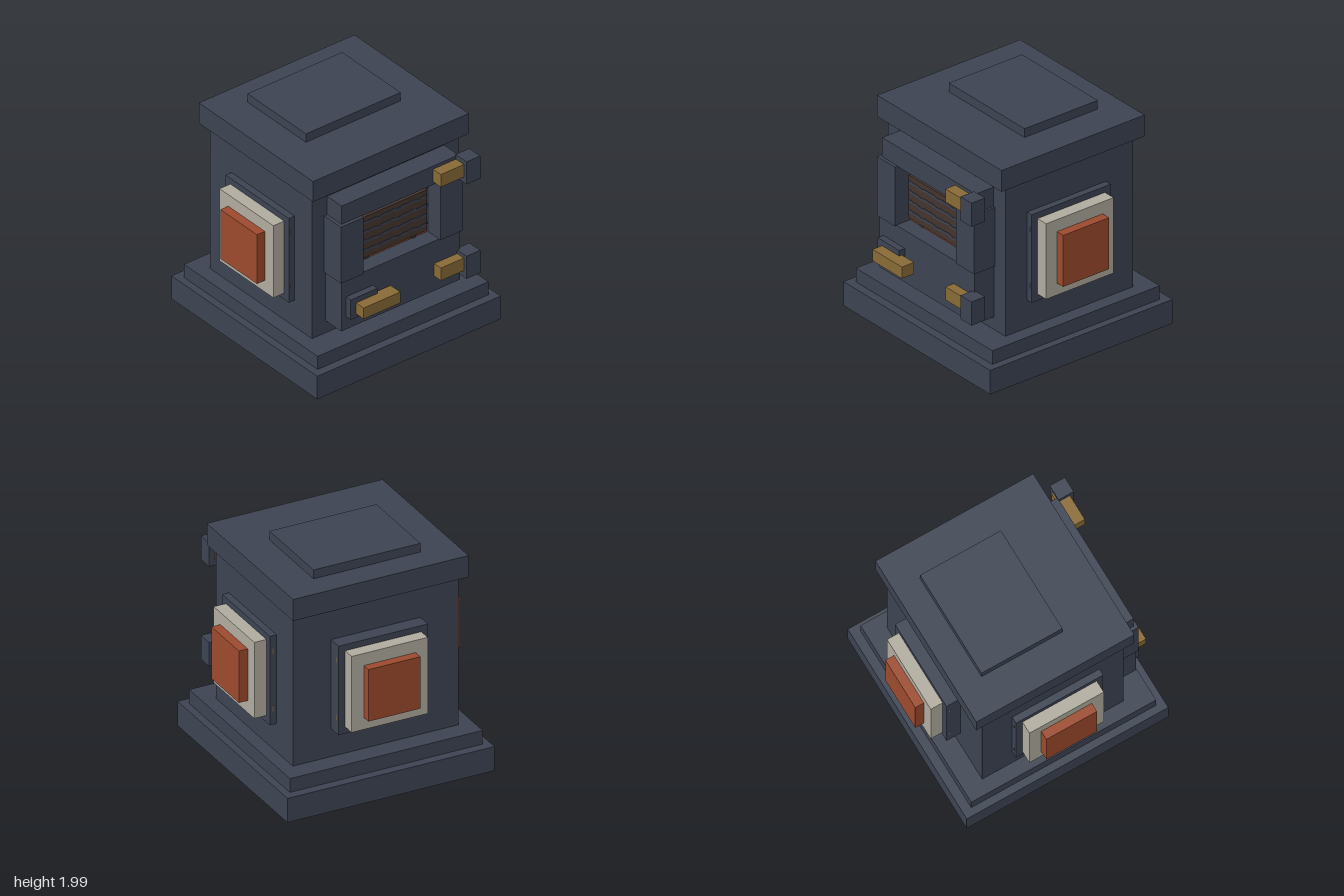
import * as THREE from 'three';

const mat = (name, color) => {
  const m = new THREE.MeshStandardMaterial({ color });
  m.name = name;
  return m;
};

export function createModel() {
  const slate = mat('slate', 0x3d4352);
  const brick = mat('brick red', 0x9c4a2d);
  const cream = mat('cream', 0xb0ab9e);
  const brass = mat('brass', 0x886a36);
  const soot = mat('soot brown', 0x44352f);

  const model = new THREE.Group();
  model.name = 'stove';

  // Box given by its limits along each axis
  const box = (parent, name, material, [x0, x1], [y0, y1], [z0, z1]) => {
    const geo = new THREE.BoxGeometry(x1 - x0, y1 - y0, z1 - z0);
    geo.translate((x0 + x1) / 2, (y0 + y1) / 2, (z0 + z1) / 2);
    const mesh = new THREE.Mesh(geo, material);
    mesh.name = name;
    parent.add(mesh);
    return mesh;
  };

  // Stacked plinth, body and cap
  box(model, 'base', slate, [-0.94, 0.935], [0, 0.22], [-0.93, 0.94]);
  box(model, 'baseStep', slate, [-0.875, 0.87], [0.22, 0.345], [-0.85, 0.865]);
  box(model, 'body', slate, [-0.75, 0.75], [0.345, 1.71], [-0.675, 0.635]);
  box(model, 'cap', slate, [-0.797, 0.793], [1.71, 1.905], [-0.757, 0.708]);
  box(model, 'topPlate', slate, [-0.485, 0.483], [1.905, 1.985], [-0.525, 0.225]);

  // Stepped square panels on both sides and the back
  const addPanel = (name, angle, reach, z) => {
    const panel = new THREE.Group();
    panel.name = name;
    box(panel, 'panelFrame', slate, [-0.405, 0.405], [0.6, 1.405], [0.66, reach]);
    box(panel, 'panelTile', cream, [-0.345, 0.345], [0.66, 1.35], [reach, reach + 0.11]);
    box(panel, 'panelCentre', brick, [-0.235, 0.235], [0.77, 1.24], [reach + 0.11, reach + 0.19]);
    // Pins just showing at the edges of the frame
    for (const y of [0.745, 1.265]) {
      box(panel, 'pin', brass, [-0.407, 0.407], [y - 0.025, y + 0.025], [reach - 0.03, reach - 0.024]);
    }
    panel.rotation.y = angle;
    panel.position.z = z;
    model.add(panel);
  };
  addPanel('leftPanel', Math.PI / 2, 0.81, 0.008);
  addPanel('rightPanel', -Math.PI / 2, 0.81, 0.008);
  addPanel('backPanel', Math.PI, 0.803, 0);

  // Door frame around the fire opening
  const door = new THREE.Group();
  door.name = 'door';
  model.add(door);
  box(door, 'doorTop', slate, [-0.595, 0.6], [1.465, 1.645], [0.63, 0.82]);
  box(door, 'doorBottom', slate, [-0.61, 0.605], [0.46, 0.935], [0.63, 0.835]);
  box(door, 'doorRightStile', slate, [-0.625, -0.395], [0.93, 1.47], [0.63, 0.85]);
  box(door, 'doorLeftStile', slate, [0.39, 0.62], [0.93, 1.47], [0.63, 0.85]);

  // Glowing back plate, bars and grate
  box(door, 'glow', brick, [-0.395, 0.39], [0.935, 1.465], [0.63, 0.69]);
  for (const y of [1.02, 1.19, 1.36]) {
    box(door, 'crossBar', soot, [-0.393, 0.388], [y - 0.01, y + 0.01], [0.69, 0.698]);
  }
  box(door, 'uprightBar', soot, [-0.002, 0.025], [1.36, 1.463], [0.69, 0.698]);
  for (const s of [-1, 1]) {
    const foot = box(door, 'footBar', soot, [-0.022, 0.022], [-0.036, 0.036], [0.69, 0.698]);
    foot.position.set(s * 0.242, 0.972, 0);
    foot.rotation.z = -0.15;
  }
  box(door, 'grate', soot, [-0.33, 0.325], [1.005, 1.395], [0.698, 0.76]);

  // Wavy slate strips on the grate
  const wavyStrip = () => {
    const shape = new THREE.Shape();
    const n = 24;
    const edge = (i, side) => [
      -0.325 + (0.645 * i) / n,
      side * (0.011 + 0.004 * Math.sin(i * 1.7 + side)) + 0.004 * Math.sin(i * 0.8),
    ];
    shape.moveTo(...edge(0, -1));
    for (let i = 1; i <= n; i++) shape.lineTo(...edge(i, -1));
    for (let i = n; i >= 0; i--) shape.lineTo(...edge(i, 1));
    return new THREE.ExtrudeGeometry(shape, { depth: 0.004, bevelEnabled: false });
  };
  const strip = wavyStrip();
  for (const y of [1.07, 1.16, 1.25, 1.337]) {
    const mesh = new THREE.Mesh(strip, slate);
    mesh.name = 'grateStrip';
    mesh.position.set(0, y, 0.76);
    door.add(mesh);
  }

  // Hinges
  for (const [y, knobY] of [[0.66, 0.647], [1.555, 1.55]]) {
    box(door, 'hingeArm', brass, [0.34, 0.665], [y - 0.06, y + 0.06], [0.8, 0.92]);
    box(door, 'hingeKnuckle', slate, [0.575, 0.715], [knobY - 0.108, knobY + 0.108], [0.815, 0.955]);
  }

  // Latch
  box(door, 'latchPlate', slate, [-0.56, -0.285], [0.58, 0.77], [0.83, 0.893]);
  box(door, 'latchHandle', brass, [-0.505, -0.13], [0.615, 0.72], [0.865, 0.99]);

  return model;
}
